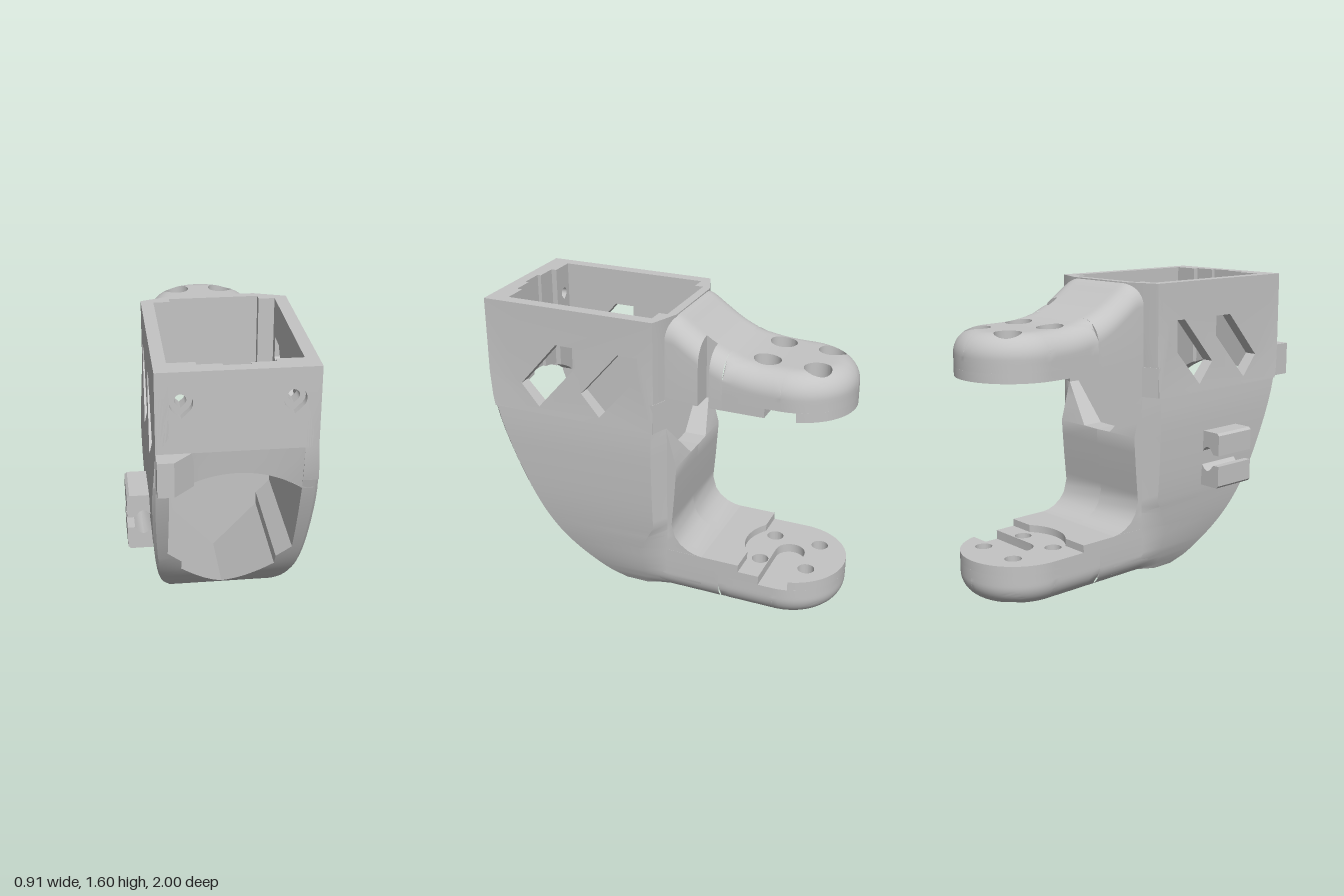
import * as THREE from 'three';
import { toCreasedNormals } from 'three/addons/utils/BufferGeometryUtils.js';

const CX = 0.055, R = 0.305, HUB = -0.695, FILLET = 0.12;

// Piecewise linear lookup in [[key, value], ...]
function lookup(table, v) {
  if (v <= table[0][0]) return table[0][1];
  for (let i = 1; i < table.length; i++) {
    const [a, p] = table[i - 1], [b, q] = table[i];
    if (v <= b) return p + (q - p) * (v - a) / (b - a);
  }
  return table[table.length - 1][1];
}
// Finer table along a smooth curve through the given one
const smooth = (table) => new THREE.SplineCurve(table.map(([a, b]) => new THREE.Vector2(a, b)))
  .getPoints(80).map((p) => [p.x, p.y]);

// Skin between closed loops of [x, y, z] points
function loft(rows) {
  const n = rows[0].length, index = [];
  for (let i = 0; i < rows.length - 1; i++) {
    for (let j = 0; j < n; j++) {
      const a = i * n + j, b = i * n + (j + 1) % n;
      index.push(a, b, b + n, a, b + n, a + n);
    }
  }
  const g = new THREE.BufferGeometry();
  g.setAttribute('position', new THREE.Float32BufferAttribute(rows.flat(2), 3));
  g.setIndex(index);
  return g;
}

const polygon = (pts) => new THREE.Shape(pts.map(([x, y]) => new THREE.Vector2(x, y)));
const extrude = (shape, depth) =>
  new THREE.ExtrudeGeometry(shape, { depth, bevelEnabled: false, curveSegments: 24 });
// Horizontal plate from a plan drawn in x, z
const plate = (shape, y0, y1) => extrude(shape, y1 - y0).rotateX(Math.PI / 2).translate(0, y1, 0);

// Move vertices by a rule
function reshape(g, rule) {
  const p = g.attributes.position, v = new THREE.Vector3();
  for (let i = 0; i < p.count; i++) {
    v.fromBufferAttribute(p, i);
    rule(v);
    p.setXYZ(i, v.x, v.y, v.z);
  }
  return g;
}

// Body dimensions by height
const FRONT = smooth([[0, 0.19], [0.02, 0.235], [0.05, 0.295], [0.13, 0.4], [0.22, 0.5], [0.35, 0.605],
  [0.52, 0.7], [0.75, 0.8], [0.95, 0.87], [1.06, 0.895], [1.19, 0.91]]);
const WIDTH = smooth([[0, 0.265], [0.05, 0.29], [0.15, 0.325], [0.3, 0.36], [0.5, 0.385], [0.75, 0.398],
  [0.95, 0.4], [1.19, 0.385]]);
const CAVITY = [[0.1, 0], [0.36, 0.245], [0.43, 0.245], [0.51, 0.32]];
const BACK = [[0.27, -0.29], [0.275, -0.25], [0.29, -0.21], [0.32, -0.165], [0.36, -0.135], [0.43, -0.115],
  [0.6, -0.13], [0.784, -0.143], [1, -0.085]];
const BACK_WIDTH = [[0, 0.185], [0.02, 0.251], [0.05, 0.283], [0.1, 0.304]];
const SIDE_END = [[0.27, 0.05], [0.43, -0.04]];

export function createModel() {
  const model = new THREE.Group();
  const grey = new THREE.MeshStandardMaterial({ color: 0xc4c4c4 });
  grey.name = 'grey plastic';
  const body = new THREE.Group();
  body.name = 'body';
  body.position.x = CX;
  model.add(body);
  function add(parent, name, geometry, crease = 0.5) {
    const mesh = new THREE.Mesh(toCreasedNormals(geometry, crease), grey);
    mesh.name = name;
    parent.add(mesh);
  }

  // Lower shell: curved outside, stepped V channel inside, V window at the back
  const heights = [0, 0.01, 0.02, 0.035, 0.05, 0.075, 0.1, 0.13, 0.17, 0.22, 0.27, 0.275, 0.29, 0.32, 0.36, 0.395,
    0.43, 0.47, 0.51, 0.56, 0.6, 0.65, 0.7, 0.784, 0.786, 0.86, 0.93, 1];
  for (const s of [1, -1]) {
    const rows = heights.map((y) => {
      const c = lookup(CAVITY, y), w = lookup(WIDTH, y), zf = lookup(FRONT, y), zb = lookup(BACK, y);
      const h = y < 0.785 ? 0 : lookup([[0.785, 0.105], [1, 0.3]], y), bw = lookup(BACK_WIDTH, y);
      const loop = [[c, zf], [w - 0.015, zf], [w, zf - 0.015], [w, lookup(SIDE_END, y)],
        [bw, Math.max(zb, -0.09)], [bw, zb], [h, zb], [h, -0.02], [c, -0.02]].map(([x, z]) => [s * x, y, z]);
      return s > 0 ? loop : loop.reverse();
    });
    rows.unshift(rows[0].map(() => [0, 0, 0]));
    add(body, 'lowerShell', loft(rows), 0.7);
  }

  // Upper side walls with two slanted slots each
  for (const s of [1, -1]) {
    const wall = polygon([[0.91, 1.6], [0.91, 1.19], [0.895, 1.06], [0.882, 1], [-0.05, 1], [-0.05, 1.19],
      [-0.05, 1.6]].map(([z, y]) => [-z, y]));
    for (const dz of [0, -0.355]) {
      wall.holes.push(polygon([[0.5, 1.4], [0.39, 1.4], [0.39, 1.29], [0.61, 1.04], [0.715, 1.155]]
        .map(([z, y]) => [-z - dz, y])));
    }
    const g = extrude(wall, 0.065).rotateY(Math.PI / 2).translate(s > 0 ? 0.32 : -0.385, 0, 0);
    add(body, 'sideWall', reshape(g, (v) => {
      if (Math.abs(v.x) > 0.35) v.x = s * lookup(WIDTH, v.y);
    }));
    // Corner post beside the back window
    add(body, 'cornerPost', plate(polygon([[0.39, -0.02], [0.39, -0.05], [0.3, -0.085], [0.3, -0.02]]
      .map(([x, z]) => [s * x, z])), 1, 1.16));
  }

  // Front wall in stepped strips above an arch, with teardrop screw holes
  const archY = (x) => 1.065 - 0.503 + Math.sqrt(0.503 ** 2 - Math.min(0.32, Math.abs(x)) ** 2);
  function frontStrip(x0, x1, zIn, zOut, hole) {
    const upper = polygon([[x0, 1.19], [x1, 1.19], [x1, 1.6], [x0, 1.6]]);
    const arch = [[x1, 1.19], [x0, 1.19]];
    for (let i = 0; i <= 10; i++) {
      const x = x0 + (x1 - x0) * i / 10;
      arch.push([x, archY(x)]);
    }
    if (hole) {
      const hx = Math.sign(x0) * 0.263, tear = [[hx, 1.445 - hole * 1.4]];
      for (let i = 0; i <= 18; i++) {
        const a = (-45 + 15 * i) * Math.PI / 180;
        tear.push([hx + hole * Math.cos(a), 1.445 + hole * Math.sin(a)]);
      }
      upper.holes.push(polygon(tear));
    }
    for (const shape of [upper, polygon(arch)]) {
      add(body, 'frontWall', reshape(extrude(shape, 1), (v) => {
        const zf = lookup(FRONT, v.y);
        v.z = v.z > 0.5 ? zf - 0.91 + zOut : Math.min(zIn, zf - 0.04);
      }));
    }
  }
  frontStrip(-0.065, 0.065, 0.85, 0.91);
  for (const s of [1, -1]) {
    frontStrip(s * 0.065, s * 0.185, 0.83, 0.91);
    frontStrip(s * 0.185, s * 0.375, 0.87, 0.91, 0.055);
    frontStrip(s * 0.185, s * 0.35, 0.8, 0.87, 0.028);
  }

  // Upper back wall with a shallow inner recess
  const half = [[0.32, -0.02], [0.385, -0.02], [0.385, -0.05], [0.22, -0.11]];
  const recess = [[-0.235, -0.02], [-0.235, -0.065], [0.235, -0.065], [0.235, -0.02]];
  add(body, 'backWall', plate(polygon([...half, ...half.map(([x, z]) => [-x, z]).reverse(), ...recess]), 1.16, 1.6));

  // Corner tab on the front
  add(model, 'cornerTab', plate(polygon([[-0.33, 0.84], [-0.33, 1], [-0.25, 1], [-0.15, 0.9], [-0.15, 0.84]]), 1.01, 1.19));

  // Cable clip: two mirrored jaws
  for (const s of [1, -1]) {
    const jaw = [[0.33, 0.155], [0.445, 0.155], [0.458, 0.142], [0.458, 0.03], [0.42, 0.03], [0.395, 0.06],
      [0.375, 0.07], [0.355, 0.06], [0.33, 0.03]];
    add(model, 'clipJaw', extrude(polygon(jaw.map(([x, y]) => [-x, 0.62 + s * y])), 0.26).translate(0, 0, 0.29));
  }

  // Arm: flat face at y = 0, rounded face above, round end with four screw holes and a horn slot
  function makeArm(name, top, zStart, slotSide, notched) {
    const arm = new THREE.Group();
    arm.name = name;
    const heightAt = (x, z) => {
      const d = z > HUB ? R - Math.abs(x) : R - Math.hypot(x, z - HUB);
      const e = FILLET - Math.min(FILLET, Math.max(0, d));
      return lookup(top, z) - FILLET + Math.sqrt(FILLET * FILLET - e * e);
    };
    const base = 0.095;
    // Flat layers
    for (const slotted of [true, false]) {
      const pts = [[-R, HUB + R], [R, HUB + R]];
      if (slotted) {
        pts.push([R, HUB + 0.08]);
        for (let i = 0; i <= 12; i++) {
          const a = Math.PI / 2 + Math.PI * i / 12;
          pts.push([0.08 * Math.cos(a), HUB + 0.08 * Math.sin(a)]);
        }
      }
      const a0 = slotted ? Math.asin(0.08 / R) : 0;
      for (let i = 0; i <= 32; i++) {
        const a = a0 + (Math.PI - a0) * i / 32;
        pts.push([R * Math.cos(a), HUB - R * Math.sin(a)]);
      }
      const shape = polygon(pts.map(([x, z]) => [slotSide * x, z]));
      for (const sx of [1, -1]) for (const sz of [1, -1]) {
        shape.holes.push(new THREE.Path().absarc(sx * 0.13, HUB + sz * 0.13, 0.045, 0, Math.PI * 2));
      }
      add(arm, 'armPlate', plate(shape, slotted ? 0 : 0.05, slotted ? 0.05 : base));
    }
    // Rounded quarters, each around one counterbored hole
    for (const sx of [1, -1]) for (const sz of [1, -1]) {
      const edge = [];
      for (let i = 0; i < 14; i++) edge.push([R * Math.sin(Math.PI * i / 28), 0]);
      for (let i = 0; i < 16; i++) {
        const a = Math.PI / 2 * i / 16, c = Math.cos(a), s = Math.sin(a);
        const k = sz > 0 ? R / Math.max(c, s) : R;
        edge.push([k * c, k * s]);
      }
      for (let i = 0; i < 14; i++) edge.push([0, R * Math.cos(Math.PI * i / 28)]);
      const ring = (t, y) => {
        const loop = edge.map(([u, v]) => {
          const a = Math.atan2(v - 0.13, u - 0.13);
          const hu = 0.13 + 0.07 * Math.cos(a), hv = 0.13 + 0.07 * Math.sin(a);
          const x = sx * (hu + (u - hu) * t), z = HUB + sz * (hv + (v - hv) * t);
          return [x, y ?? heightAt(x, z), z];
        });
        return sx * sz > 0 ? loop : loop.reverse();
      };
      const rows = [ring(0, base)];
      for (let i = 0; i <= 12; i++) rows.push(ring(Math.sin(Math.PI / 2 * i / 12)));
      rows.push(ring(1, base));
      add(arm, 'armEnd', loft(rows), 0.8);
    }
    // Neck towards the body
    const section = (z, xMax) => {
      const loop = [[-R, 0, z]];
      for (let i = 0; i <= 32; i++) {
        const x = Math.min(xMax, -R * Math.cos(Math.PI * i / 32));
        loop.push([x, heightAt(x, z), z]);
      }
      loop.push([xMax, 0, z]);
      return loop;
    };
    const neck = [];
    for (let i = 0; i <= 16; i++) {
      const z = zStart + (HUB + R - zStart) * i / 16;
      if (!notched || z > -0.26 || z < -0.32) neck.push([z, R]);
    }
    if (notched) neck.push([-0.26, R], [-0.2601, 0.185], [-0.29, 0.185], [-0.3199, 0.185], [-0.32, R]);
    neck.sort((a, b) => b[0] - a[0]);
    add(arm, 'armNeck', loft(neck.map(([z, x]) => section(z, x))));
    model.add(arm);
    return arm;
  }
  const upper = makeArm('upperArm', smooth([[-1, 0.235], [-0.75, 0.235], [-0.6, 0.237], [-0.5, 0.247], [-0.4, 0.27],
    [-0.3, 0.315], [-0.2, 0.38], [-0.13, 0.427], [-0.08, 0.438]]), -0.075, 1, true);
  upper.position.set(CX, 1.16, 0);
  const lower = makeArm('lowerArm', [[-1, 0.23], [0, 0.23]], -0.03, -1, false);
  lower.rotation.z = Math.PI;
  lower.position.set(CX, 0.23, 0);

  // Raised deck on the lower arm, ending in an arc around the hub
  const deck = [[-R, -0.03], [R, -0.03], [R, -0.5]];
  for (let i = 0; i <= 16; i++) {
    const x = 0.157 - 0.314 * i / 16;
    deck.push([x, HUB + Math.sqrt(0.0627 - x * x)]);
  }
  deck.push([-R, -0.5]);
  add(body, 'lowerDeck', plate(polygon(deck), 0.22, 0.27));
  return model;
}
